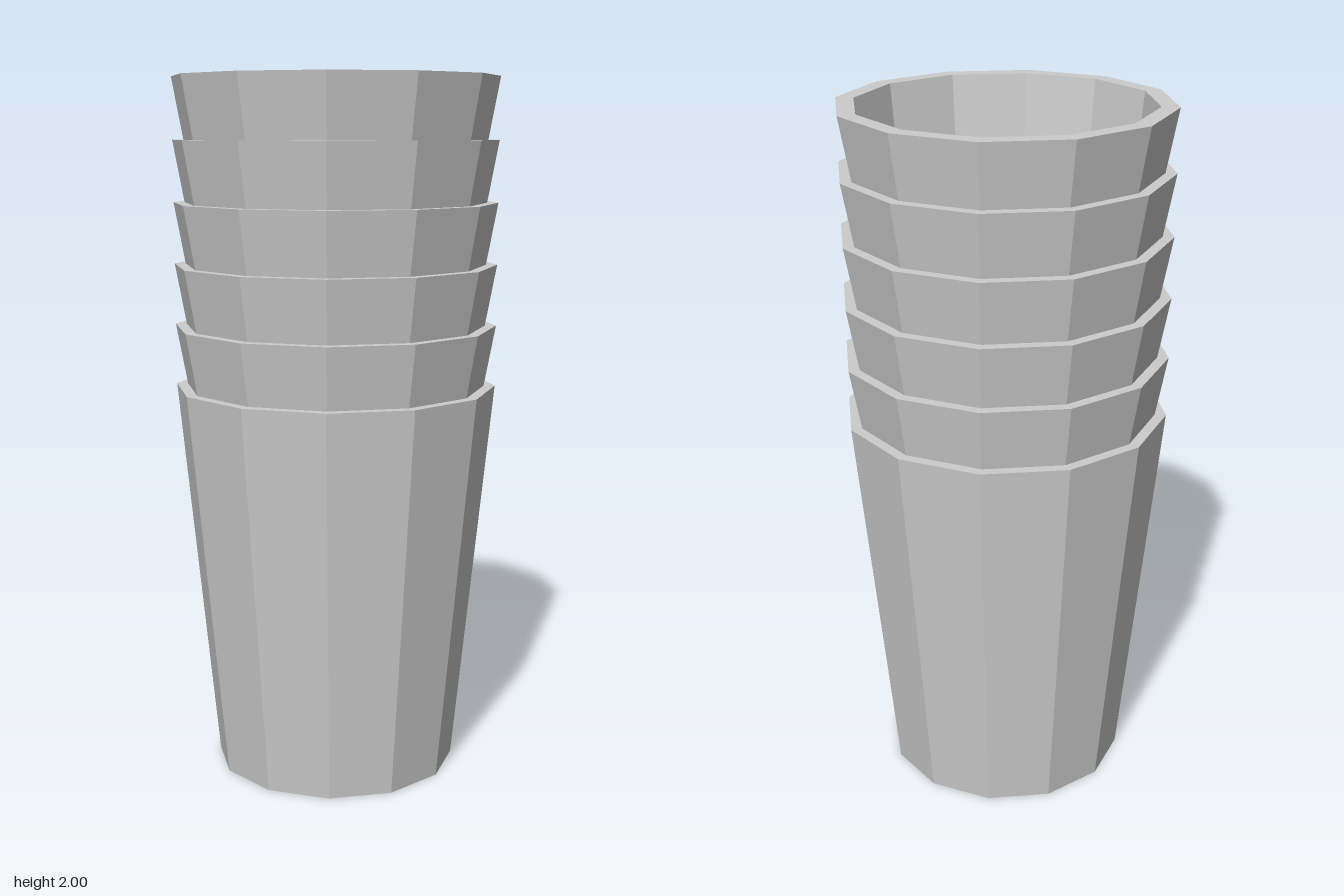
import * as THREE from 'three';

const SIDES = 12;
const CUPS = 6;
const BASE_RIM = 1.127; // height of the lowest rim
const STEP = (2 - BASE_RIM) / (CUPS - 1); // rise from one rim to the next
const RIM_OUT = 0.462, RIM_IN = 0.412;

const plastic = new THREE.MeshStandardMaterial({ color: 0xcccccc });
plastic.name = 'grey plastic';

// Faceted ring body; profile runs up the outside, then down the inside
function faceted(name, profile) {
  const points = profile.map(([r, y]) => new THREE.Vector2(r, y));
  const geometry = new THREE.LatheGeometry(points, SIDES).toNonIndexed();
  geometry.computeVertexNormals();
  const mesh = new THREE.Mesh(geometry, plastic);
  mesh.name = name;
  return mesh;
}

export function createModel() {
  const group = new THREE.Group();
  group.name = 'stackedCups';

  // Lowest cup, with its full tapered body showing
  group.add(faceted('bottomCup', [
    [0, 0], [0.35, 0], [RIM_OUT, BASE_RIM], [RIM_IN, BASE_RIM],
  ]));

  // Nested cups, of which only the upper bands show
  for (let i = 1; i < CUPS; i++) {
    const rim = BASE_RIM + i * STEP;
    const profile = [[0.43, rim - STEP], [RIM_OUT, rim], [RIM_IN, rim]];
    const isTop = i === CUPS - 1;
    // The top cup is open, with a tapered inside and a floor
    if (isTop) profile.push([0.3, rim - BASE_RIM + 0.05], [0, rim - BASE_RIM + 0.05]);
    group.add(faceted(isTop ? 'topCup' : 'nestedCup' + i, profile));
  }
  return group;
}
